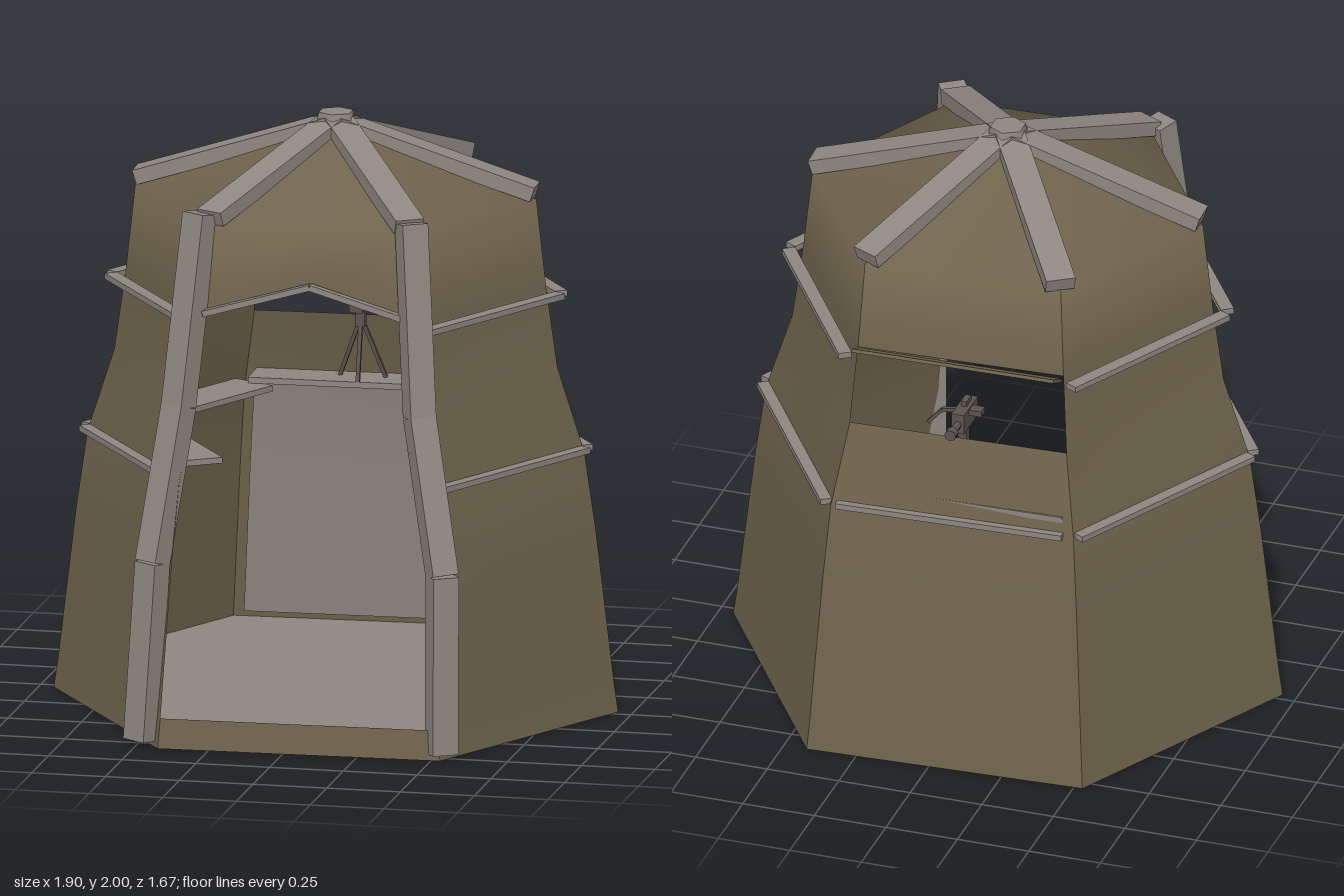
import * as THREE from 'three';

const V = (x, y, z) => new THREE.Vector3(x, y, z);
// footprint corners, counter-clockwise seen from above, starting on the +x side
const CORNERS = [[0.95, -0.03], [0.42, -0.83], [-0.53, -0.79], [-0.95, 0.03], [-0.42, 0.82], [0.53, 0.79]];
// taper of the shell: height, scale of the footprint
const TAPER = [[0, 1], [0.1, 0.985], [0.62, 0.92], [0.88, 0.88], [1.16, 0.785], [1.43, 0.745], [1.73, 0.71], [1.97, 0]];

function scaleAt(y) {
  for (let k = 1; k < TAPER.length; k++) {
    const [y0, s0] = TAPER[k - 1], [y1, s1] = TAPER[k];
    if (y <= y1) return s0 + (s1 - s0) * (y - y0) / (y1 - y0);
  }
  return 0;
}

// point on wall i, u along the wall, off = change of footprint scale
function onWall(i, u, y, off = 0) {
  const a = CORNERS[i % 6], b = CORNERS[(i + 1) % 6], s = Math.max(0, scaleAt(y) + off);
  return V((a[0] + (b[0] - a[0]) * u) * s, y, (a[1] + (b[1] - a[1]) * u) * s);
}

export function createModel() {
  const group = new THREE.Group();
  const canvas = new THREE.MeshStandardMaterial({ color: 0x6f644c, side: THREE.DoubleSide });
  canvas.name = 'olive shell';
  const timber = new THREE.MeshStandardMaterial({ color: 0x8f8781 });
  timber.name = 'grey timber';
  const lining = new THREE.MeshStandardMaterial({ color: 0x8f8781, side: THREE.DoubleSide });
  lining.name = 'grey lining';
  const metal = new THREE.MeshStandardMaterial({ color: 0x5c5550 });
  metal.name = 'dark metal';

  function add(name, geometry, material, parent = group) {
    const mesh = new THREE.Mesh(geometry, material);
    mesh.name = name;
    parent.add(mesh);
    return mesh;
  }

  // tapered strip of one wall; lift raises the middle of the lowest row
  function wall(name, i, rows, { u0 = 0, u1 = 1, off = 0, lift = 0, material = canvas } = {}) {
    const pos = [], index = [];
    rows.forEach((y, r) => {
      for (let c = 0; c < 3; c++) {
        const h = r === 0 && c === 1 ? y + lift : y;
        pos.push(...onWall(i, u0 + (u1 - u0) * c / 2, h, off).toArray());
      }
    });
    for (let r = 0; r < rows.length - 1; r++) {
      for (let c = 0; c < 2; c++) {
        const a = r * 3 + c;
        index.push(a, a + 1, a + 4, a, a + 4, a + 3);
      }
    }
    const g = new THREE.BufferGeometry();
    g.setAttribute('position', new THREE.Float32BufferAttribute(pos, 3));
    g.setIndex(index);
    g.computeVertexNormals();
    return add(name, g, material);
  }

  // box bar from a to b, w across and h along the up direction
  function beam(name, a, b, w, h, material = timber, up = V(0, 1, 0), parent = group) {
    const m = add(name, new THREE.BoxGeometry(w, h, a.distanceTo(b)), material, parent);
    m.up.copy(up);
    m.position.copy(a).add(b).multiplyScalar(0.5);
    m.lookAt(b);
    return m;
  }

  // shell: full side walls, window across the back, doorway in front
  const all = TAPER.map((t) => t[0]);
  for (const i of [0, 2, 3, 5]) wall('sideWall', i, all);
  wall('backWallLower', 1, all.slice(0, 5));
  wall('backWallUpper', 1, all.slice(5));
  wall('doorSill', 4, [0, 0.1]);
  wall('frontWallUpper', 4, [1.44, 1.73, 1.97], { lift: 0.1 });

  // floor slab
  const outline = new THREE.Shape(CORNERS.map(([x, z]) => new THREE.Vector2(x * 0.985, -z * 0.985)));
  const floor = new THREE.ExtrudeGeometry(outline, { depth: 0.075, bevelEnabled: false });
  floor.rotateX(-Math.PI / 2);
  add('floor', floor, timber).position.y = 0.005;

  // roof ribs and hub
  CORNERS.forEach(([x, z]) => {
    beam('roofRib', V(0, 1.968, 0), V(x * 0.705, 1.755, z * 0.705), 0.1, 0.05);
  });
  add('roofHub', new THREE.CylinderGeometry(0.06, 0.07, 0.04, 6), timber).position.y = 1.98;

  // bent posts beside the doorway
  const posts = [
    [V(-0.33, 1.77, 0.58), V(-0.385, 1.13, 0.66), V(-0.45, 0.62, 0.765), V(-0.485, 0.02, 0.785)],
    [V(0.385, 1.77, 0.575), V(0.43, 1.13, 0.65), V(0.53, 0.62, 0.755), V(0.53, 0.02, 0.765)],
  ];
  for (const p of posts) {
    const out = V(p[0].x, 0, p[0].z).normalize();
    for (let k = 0; k < 3; k++) beam('doorPost', p[k], p[k + 1], 0.09, 0.075, timber, out);
  }

  // pitched door lintel
  const peak = V(0.05, 1.545, 0.615);
  beam('doorLintel', V(-0.31, 1.44, 0.625), peak, 0.03, 0.02);
  beam('doorLintel', V(0.36, 1.45, 0.6), peak, 0.03, 0.02);

  // horizontal rails round the outside
  for (const i of [0, 2, 3, 5]) {
    beam('upperRail', onWall(i, 0.02, 1.41, 0.055), onWall(i, 0.98, 1.41, 0.055), 0.045, 0.02);
    beam('lowerRail', onWall(i, 0.02, 0.89, 0.02), onWall(i, 0.98, 0.89, 0.02), 0.04, 0.02);
  }
  beam('backRail', onWall(1, 0.03, 0.89, 0.015), onWall(1, 0.95, 0.89, 0.015), 0.025, 0.02);

  // window flap
  const flap = beam('windowFlap', V(-0.39, 1.435, -0.635), V(0.31, 1.435, -0.65), 0.1, 0.012, canvas);
  flap.rotateZ(0.45);

  // lining under the window, and shelves inside
  wall('backLining', 1, [0.1, 0.62, 0.88, 0.95], { u0: 0.07, u1: 0.97, off: -0.02, material: lining });
  beam('windowShelf', V(-0.42, 0.94, -0.61), V(0.34, 0.94, -0.63), 0.15, 0.02);
  for (const i of [2, 3]) {
    beam('sideShelf', onWall(i, 0.04, 0.92, -0.13), onWall(i, 0.94, 0.92, -0.13), 0.16, 0.02);
  }

  // tripod-mounted device at the window
  const device = new THREE.Group();
  device.name = 'tripodDevice';
  group.add(device);
  const top = V(-0.05, 1.16, -0.6);
  for (const [x, z] of [[-0.13, -0.64], [0.025, -0.64], [-0.05, -0.55]]) {
    beam('tripodLeg', top, V(x, 0.95, z), 0.013, 0.013, metal, V(0, 0, 1), device);
  }
  beam('deviceMount', V(-0.05, 1.13, -0.6), V(-0.05, 1.2, -0.6), 0.03, 0.03, metal, V(0, 0, 1), device);
  beam('deviceBody', V(-0.05, 1.225, -0.52), V(-0.05, 1.225, -0.66), 0.045, 0.07, metal, V(0, 1, 0), device);
  beam('deviceSight', V(-0.05, 1.265, -0.55), V(-0.05, 1.265, -0.6), 0.02, 0.025, metal, V(0, 1, 0), device);
  beam('deviceBox', V(-0.115, 1.245, -0.59), V(-0.06, 1.245, -0.59), 0.04, 0.02, metal, V(0, 1, 0), device);
  beam('deviceArm', V(-0.03, 1.235, -0.58), V(0.03, 1.225, -0.58), 0.015, 0.012, metal, V(0, 1, 0), device);
  beam('deviceArm', V(0.03, 1.225, -0.58), V(0.08, 1.17, -0.58), 0.015, 0.012, metal, V(0, 1, 0), device);
  const barrel = new THREE.CylinderGeometry(0.013, 0.013, 0.1, 8);
  barrel.rotateX(Math.PI / 2);
  add('barrel', barrel, metal, device).position.set(-0.05, 1.222, -0.69);
  const tip = new THREE.CylinderGeometry(0.02, 0.02, 0.03, 8);
  tip.rotateX(Math.PI / 2);
  add('barrelTip', tip, metal, device).position.set(-0.05, 1.222, -0.725);

  return group;
}
